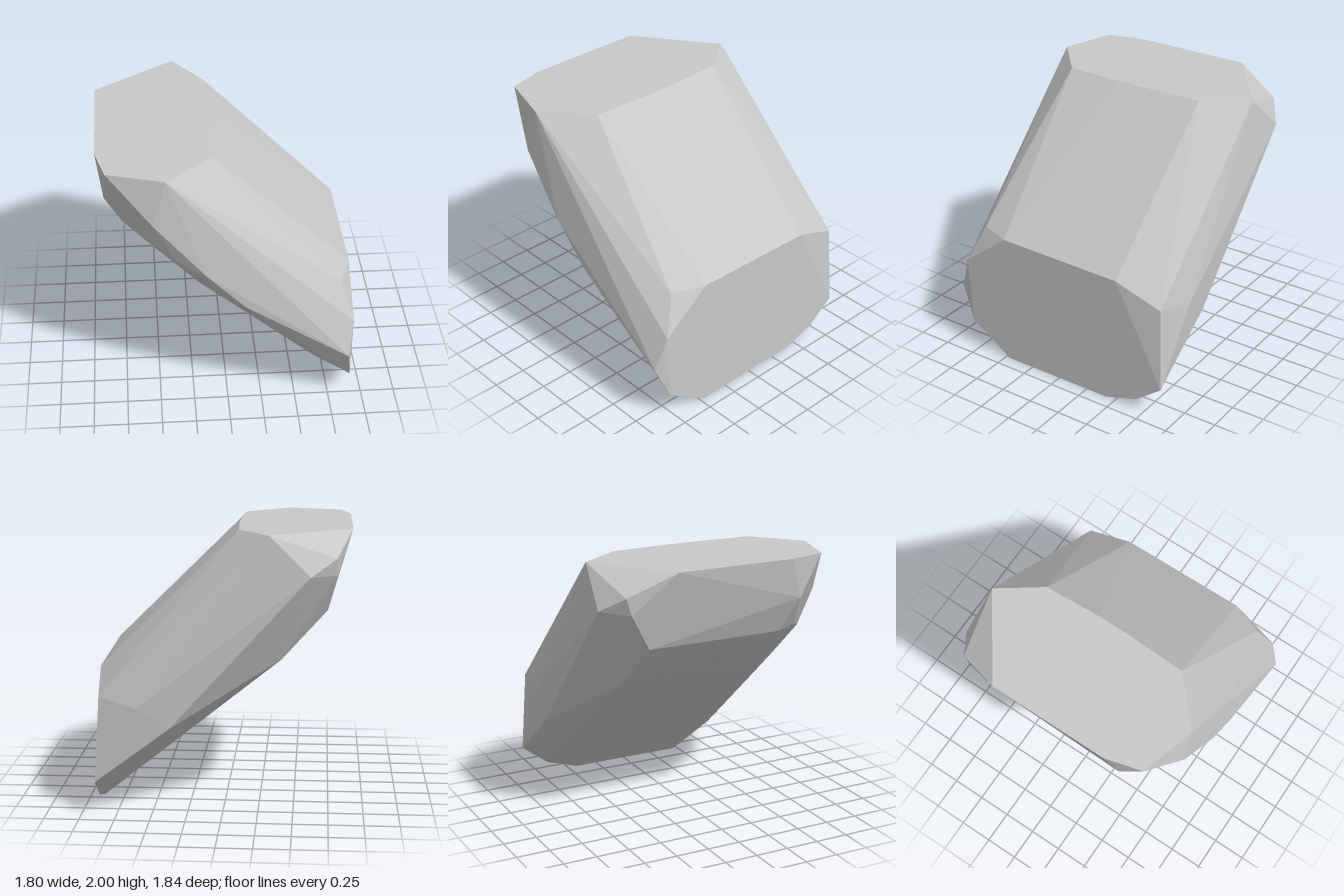
import * as THREE from 'three';
import { ConvexGeometry } from 'three/addons/geometries/ConvexGeometry.js';

// Faceted slanted block: flat cut on top, flat cut on the left side,
// and irregular chipped facets joining the two.
export function createModel() {
  const group = new THREE.Group();
  group.name = 'facetedStone';
  const stone = new THREE.MeshStandardMaterial({ color: 0xc8c8c8, flatShading: true });
  stone.name = 'stone grey';

  const V = (x, y, z) => new THREE.Vector3(x, y, z);

  // Top cut, corners as [x, z] at y = 2
  const topCut = [
    [-0.9, -0.43], [-0.32, -0.85], [-0.1, -0.54], [-0.08, -0.12], [-0.08, 0.13],
    [-0.1, 0.57], [-0.43, 0.86], [-0.83, 0.74], [-0.9, 0.47],
  ].map(([x, z]) => V(x, 2, z));

  // Side cut, corners as [y, z] at x = 0.9
  const sideCut = [
    [0, 0.47], [0, -0.42], [0.08, -0.68], [0.24, -0.89], [1.0, -0.51],
    [1.02, 0.47], [0.74, 0.83], [0.22, 0.8],
  ].map(([y, z]) => V(0.9, y, z));

  // Chipped corners along the front
  const front = [
    V(0.81, 1.02, 0.71), V(0.865, 0.48, 0.915), V(-0.52, 1.66, 0.88),
    V(-0.16, 1.25, 0.915), V(0.11, 0.97, 0.913), V(-0.37, 1.35, 0.85),
    V(-0.58, 1.43, 0.69), V(0.65, 0.29, 0.66),
  ];

  // Chipped corners along the back
  const back = [
    V(0.865, 0.86, -0.86), V(0.59, 0.79, -0.92), V(0.37, 0.64, -0.9),
    V(-0.61, 1.72, -0.895), V(-0.79, 1.835, -0.77), V(-0.79, 1.71, -0.73),
    V(-0.645, 1.59, -0.75),
  ];

  // Rounded-off underside
  const underside = [
    V(-0.85, 1.7, 0.56), V(-0.73, 1.44, 0.47), V(-0.6, 1.29, 0.27),
    V(-0.4, 1.1, 0.1), V(-0.2, 0.93, 0.54), V(-0.73, 1.44, -0.57),
    V(-0.41, 1.1, -0.66),
  ];

  const body = new THREE.Mesh(
    new ConvexGeometry([...topCut, ...sideCut, ...front, ...back, ...underside]),
    stone,
  );
  body.name = 'stoneBody';
  group.add(body);
  return group;
}
